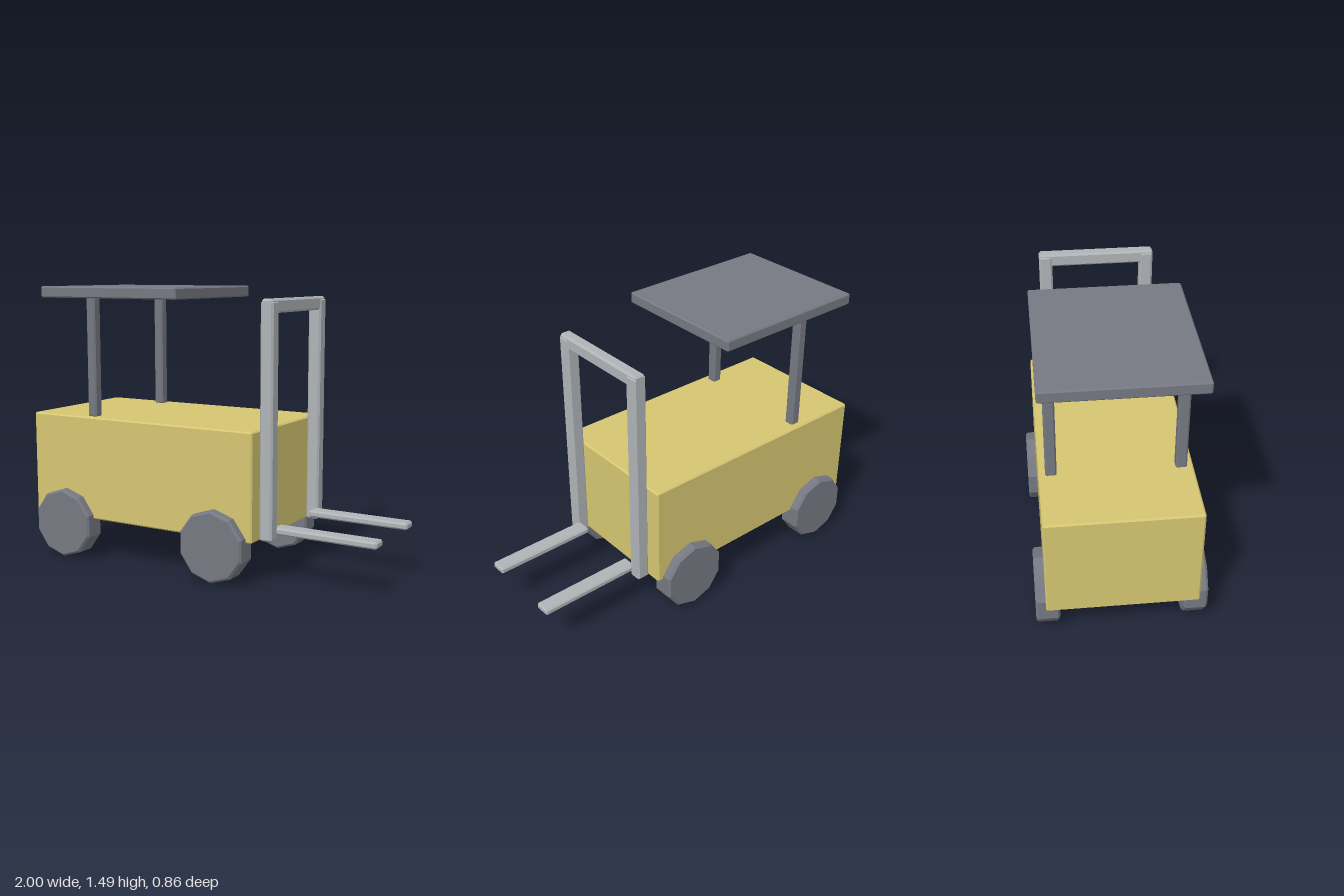
import * as THREE from 'three';
import { ConvexGeometry } from 'three/addons/geometries/ConvexGeometry.js';

const material = (color) => new THREE.MeshStandardMaterial({ color, flatShading: true });

// Box with chamfered edges, given by its min and max on each axis
function chamferBox(name, [x0, x1], [y0, y1], [z0, z1], c, mat) {
  const half = [(x1 - x0) / 2, (y1 - y0) / 2, (z1 - z0) / 2];
  const points = [];
  for (const sx of [-1, 1]) for (const sy of [-1, 1]) for (const sz of [-1, 1]) {
    for (let full = 0; full < 3; full++) {
      const [x, y, z] = half.map((h, axis) => (axis === full ? h : h - c));
      points.push(new THREE.Vector3(sx * x, sy * y, sz * z));
    }
  }
  const mesh = new THREE.Mesh(new ConvexGeometry(points), mat);
  mesh.name = name;
  mesh.position.set((x0 + x1) / 2, (y0 + y1) / 2, (z0 + z1) / 2);
  return mesh;
}

// Ten-sided wheel with chamfered rims, axle along z
function wheel(name, x, z, mat) {
  const r = 0.19, h = 0.06, c = 0.012;
  const profile = [[0, -h], [r - c, -h], [r, -h + c], [r, h - c], [r - c, h], [0, h]]
    .map(([px, py]) => new THREE.Vector2(px, py));
  const mesh = new THREE.Mesh(new THREE.LatheGeometry(profile, 10).rotateX(Math.PI / 2), mat);
  mesh.name = name;
  mesh.position.set(x, r, z);
  return mesh;
}

export function createModel() {
  const group = new THREE.Group();
  group.name = 'forklift';
  const yellow = material(0xd6c672);
  const dark = material(0x767982);
  const steel = material(0xb0b4b7);

  // Body and canopy
  group.add(chamferBox('body', [-1, 0.39], [0.225, 0.79], [-0.38, 0.38], 0.008, yellow));
  group.add(chamferBox('roof', [-0.933, -0.053], [1.427, 1.488], [-0.38, 0.38], 0.007, dark));

  // Top bar of the mast
  group.add(chamferBox('mastCrossbar', [0.395, 0.457], [1.367, 1.437], [-0.305, 0.305], 0.01, steel));

  // Parts mirrored on both sides
  for (const s of [1, -1]) {
    const side = s > 0 ? 'left' : 'right';
    const span = (a, b) => (s > 0 ? [a, b] : [-b, -a]);
    group.add(chamferBox(side + 'RoofPost', [-0.648, -0.592], [0.785, 1.43], span(0.291, 0.347), 0.008, dark));
    group.add(chamferBox(side + 'MastRail', [0.39, 0.462], [0.225, 1.427], span(0.235, 0.305), 0.01, steel));
    group.add(chamferBox(side + 'Fork', [0.44, 1], [0.253, 0.29], span(0.165, 0.25), 0.009, steel));
    group.add(wheel(side + 'RearWheel', -0.78, s * 0.37, dark));
    group.add(wheel(side + 'FrontWheel', 0.175, s * 0.37, dark));
  }
  return group;
}
